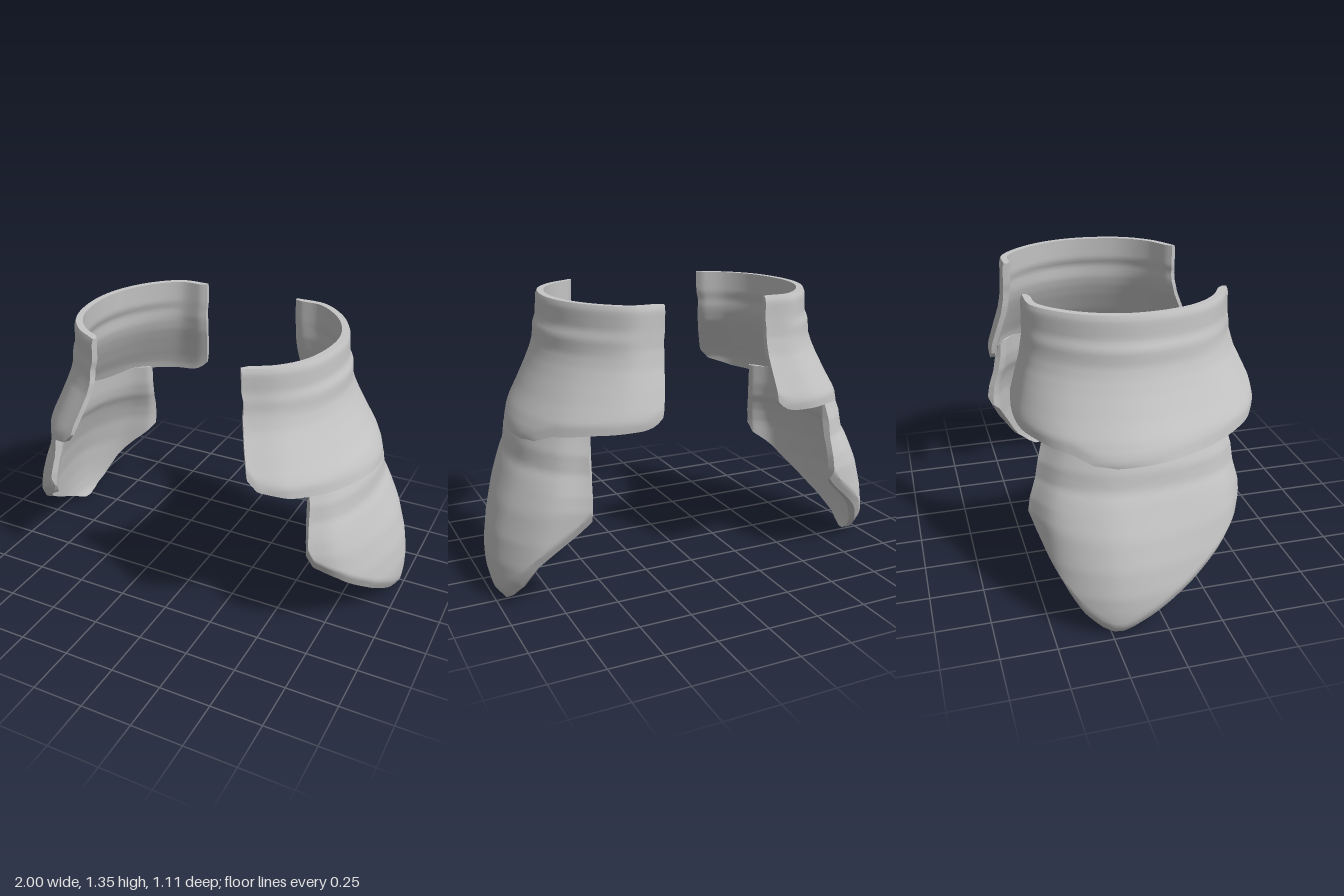
import * as THREE from 'three';
import { toCreasedNormals } from 'three/addons/utils/BufferGeometryUtils.js';

const U = 72, V = 36;

// Piecewise linear lookup in a list of [key, value] pairs with rising keys
function lookup(table, k) {
  if (k <= table[0][0]) return table[0][1];
  for (let i = 1; i < table.length; i++) {
    const [k0, v0] = table[i - 1], [k1, v1] = table[i];
    if (k <= k1) return v0 + (v1 - v0) * (k - k0) / (k1 - k0);
  }
  return table[table.length - 1][1];
}

const curve = pts => new THREE.CatmullRomCurve3(pts.map(([x, z]) => new THREE.Vector3(x, 0, z)));

// Curved shell: blends from a narrow arc to a wide arc by height, with thickness and a shaped hem
function plateGeometry(p, side) {
  const narrow = curve(p.narrow), wide = curve(p.wide);
  const pos = [], idx = [], ring = 2 * (V + 1);
  const at = (u, y) => {
    const a = narrow.getPoint(u), b = wide.getPoint(u);
    a.x += (b.x - a.x) * lookup(p.flareX, y);
    a.z += (b.z - a.z) * lookup(p.flareZ, y);
    return a;
  };
  for (let i = 0; i <= U; i++) {
    const u = i / U, hem = lookup(p.hem, u), outer = [], inner = [];
    const endTaper = 1 - 0.35 * Math.max(0, 1 - Math.min(u, 1 - u) / 0.03);
    for (let j = 0; j <= V; j++) {
      const y = p.top + (hem - p.top) * j / V;
      const c = at(u, y);
      const tan = at(Math.min(1, u + 0.01), y).sub(at(Math.max(0, u - 0.01), y)).normalize();
      const n = new THREE.Vector3(-tan.z, 0, tan.x);
      const inset = p.bevel * Math.max(0, 1 - (y - hem) / 0.05) + lookup(p.inset, y);
      const d = Math.max(lookup(p.thick, y) * endTaper, inset + 0.012);
      outer.push([side * (c.x - n.x * inset), y, c.z - n.z * inset]);
      inner.unshift([side * (c.x - n.x * d), y, c.z - n.z * d]);
    }
    for (const q of [...outer, ...inner]) pos.push(...q);
  }
  const tri = (a, b, c) => (side > 0 ? idx.push(a, b, c) : idx.push(a, c, b));
  for (let i = 0; i < U; i++) {
    for (let j = 0; j < ring; j++) {
      const k = (j + 1) % ring, a = i * ring + j, b = i * ring + k;
      tri(a, b, b + ring);
      tri(a, b + ring, a + ring);
    }
  }
  // Close both ends
  const e = U * ring;
  for (let j = 0; j < V; j++) {
    const o0 = j, o1 = j + 1, i0 = ring - 1 - j, i1 = ring - 2 - j;
    tri(o0, i0, i1);
    tri(o0, i1, o1);
    tri(e + o0, e + i1, e + i0);
    tri(e + o0, e + o1, e + i1);
  }
  const g = new THREE.BufferGeometry();
  g.setAttribute('position', new THREE.Float32BufferAttribute(pos, 3));
  g.setIndex(idx);
  return toCreasedNormals(g, 0.6);
}

// Arcs run from the front end round the outside to the back end, as [x, z]
const upper = {
  top: 1.35, bevel: 0.01,
  narrow: [[0.37, 0.45], [0.51, 0.36], [0.61, 0.22], [0.655, 0], [0.63, -0.18], [0.54, -0.35], [0.4, -0.47], [0.25, -0.48]],
  wide: [[0.5, 0.58], [0.64, 0.48], [0.77, 0.29], [0.855, 0.02], [0.84, -0.2], [0.73, -0.415], [0.54, -0.54], [0.31, -0.57]],
  flareX: [[0.76, 1], [0.85, 0.8], [0.92, 0.6], [1.02, 0.35], [1.08, 0.22], [1.13, 0.14], [1.2, 0.12], [1.24, 0.03], [1.35, 0]],
  flareZ: [[0.76, 1], [0.85, 0.95], [0.9, 0.83], [1, 0.5], [1.08, 0.22], [1.16, 0.05], [1.25, 0], [1.35, 0]],
  thick: [[1.35, 0.04]],
  inset: [[1.33, 0], [1.35, 0.008]],
  hem: [[0, 0.89], [0.03, 0.84], [0.143, 0.8], [0.286, 0.775], [0.43, 0.757], [0.57, 0.745], [0.62, 0.75], [0.68, 0.79], [0.8, 0.81], [0.95, 0.82], [0.98, 0.835], [1, 0.87]],
};

const lower = {
  top: 0.82, bevel: 0.025,
  narrow: [[0.68, 0.37], [0.765, 0.28], [0.83, 0.1], [0.845, -0.08], [0.82, -0.25], [0.735, -0.4], [0.62, -0.49]],
  wide: [[0.72, 0.42], [0.85, 0.33], [0.95, 0.12], [1, -0.12], [0.98, -0.28], [0.865, -0.45], [0.64, -0.545]],
  flareX: [[0, 0.88], [0.05, 0.96], [0.12, 1], [0.2, 1], [0.32, 0.88], [0.45, 0.64], [0.6, 0.24], [0.64, 0.1], [0.7, 0.04], [0.82, 0]],
  flareZ: [[0.48, 1], [0.55, 0.8], [0.64, 0.3], [0.72, 0.06], [0.82, 0]],
  thick: [[0.05, 0.05], [0.2, 0.06], [0.4, 0.055], [0.6, 0.045], [0.82, 0.055]],
  inset: [[0.72, 0], [0.78, 0.018], [0.82, 0.028]],
  hem: [[0, 0.47], [0.03, 0.41], [0.167, 0.335], [0.333, 0.18], [0.45, 0.08], [0.53, 0.025], [0.58, 0.004], [0.63, 0.004], [0.68, 0.03], [0.75, 0.095], [0.833, 0.215], [0.95, 0.36], [1, 0.43]],
};

export function createModel() {
  const model = new THREE.Group();
  model.name = 'hipArmour';
  const grey = new THREE.MeshStandardMaterial({ color: 0xc6c6c6 });
  grey.name = 'plate grey';
  for (const [label, side] of [['left', 1], ['right', -1]]) {
    const guard = new THREE.Group();
    guard.name = label + 'HipGuard';
    for (const [part, profile] of [['UpperPlate', upper], ['LowerPlate', lower]]) {
      const mesh = new THREE.Mesh(plateGeometry(profile, side), grey);
      mesh.name = label + part;
      guard.add(mesh);
    }
    model.add(guard);
  }
  return model;
}
